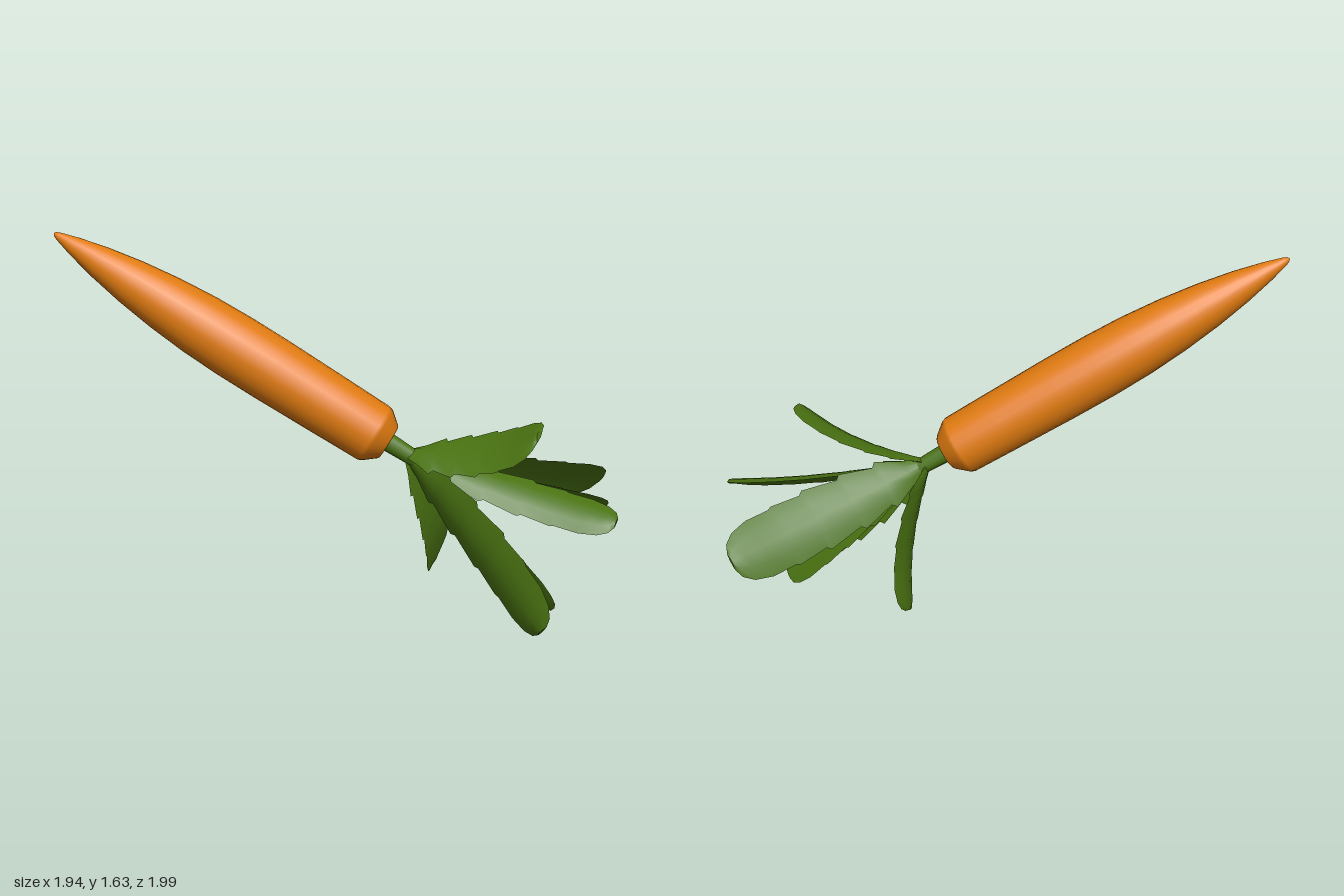
import * as THREE from 'three';
import { toCreasedNormals } from 'three/addons/utils/BufferGeometryUtils.js';

const V = (x, y, z) => new THREE.Vector3(x, y, z);
const UP = V(0, 1, 0);
const CROWN = V(0.018, 0.735, 0.102);          // flat end of the root
const TIP = V(-0.968, 1.63, -0.99);            // pointed end of the root
const AXIS = CROWN.clone().sub(TIP).normalize(); // runs from root towards leaves

// Half outline of a leaf blade: [position along, relative half width], with teeth
const OUTLINE = [
  [0, 0.15], [0.1, 0.42], [0.2, 0.78], [0.22, 0.64], [0.36, 0.93], [0.38, 0.8],
  [0.54, 1], [0.56, 0.89], [0.7, 0.98], [0.72, 0.92], [0.84, 0.93], [0.93, 0.78], [0.98, 0.54], [1, 0.25],
];

// Thin closed blade swept along a gentle curve, its flat side facing the axis
function leafGeometry(tip, halfWidth) {
  const base = CROWN.clone().addScaledVector(AXIS, 0.075);
  const bend = base.clone().lerp(tip, 0.46).addScaledVector(AXIS, 0.12);
  const curve = new THREE.QuadraticBezierCurve3(base, bend, tip);
  const across = AXIS.clone().cross(tip.clone().sub(base)).normalize();
  const columns = [-1, -0.5, 0, 0.5, 1];
  const ring = [...columns.map(u => [u, 1]), ...columns.slice(1, 4).reverse().map(u => [u, -1])];
  const n = ring.length, positions = [], index = [];
  for (const [s, w] of OUTLINE) {
    const centre = curve.getPoint(s);
    const normal = curve.getTangent(s).cross(across).normalize();
    for (const [u, side] of ring) {
      const lift = side * 0.01 * (1 - u * u) + 0.02 * w * (u * u - 0.4);
      const p = centre.clone().addScaledVector(across, u * w * halfWidth).addScaledVector(normal, lift);
      positions.push(p.x, p.y, p.z);
    }
  }
  for (let i = 0; i < OUTLINE.length - 1; i++) {
    for (let j = 0; j < n; j++) {
      const a = i * n + j, b = i * n + (j + 1) % n;
      index.push(a, a + n, b, b, a + n, b + n);
    }
  }
  // close both ends
  const last = (OUTLINE.length - 1) * n;
  for (let j = 1; j < n - 1; j++) {
    index.push(0, j, j + 1, last, last + j + 1, last + j);
  }
  const g = new THREE.BufferGeometry();
  g.setAttribute('position', new THREE.Float32BufferAttribute(positions, 3));
  g.setIndex(index);
  return toCreasedNormals(g, 0.7);
}

export function createModel() {
  const model = new THREE.Group();
  const orange = new THREE.MeshStandardMaterial({ color: 0xe07b10 });
  orange.name = 'carrot orange';
  const green = new THREE.MeshStandardMaterial({ color: 0x4a7312, side: THREE.DoubleSide });
  green.name = 'leaf green';

  const add = (name, geometry, material) => {
    const mesh = new THREE.Mesh(geometry, material);
    mesh.name = name;
    model.add(mesh);
    return mesh;
  };

  // Tapering root, turned around its long axis
  const profile = [
    [0, 0.012], [0.045, 0.01], [0.078, 0.012], [0.086, 0.018], [0.13, 0.072], [0.136, 0.09], [0.14, 0.3],
    [0.145, 0.6], [0.145, 0.8], [0.139, 0.98], [0.124, 1.16], [0.102, 1.33], [0.073, 1.49],
    [0.042, 1.62], [0.018, 1.7], [0.01, 1.718], [0, 1.725],
  ].map(([r, y]) => new THREE.Vector2(r, y));
  const root = add('root', new THREE.LatheGeometry(profile, 24), orange);
  root.position.copy(CROWN);
  root.quaternion.setFromUnitVectors(UP, AXIS.clone().negate());

  // Short stalk joining the root and the leaves
  const stalk = add('stalk', new THREE.CylinderGeometry(0.036, 0.042, 0.15, 12), green);
  stalk.position.copy(CROWN).addScaledVector(AXIS, 0.06);
  stalk.quaternion.setFromUnitVectors(UP, AXIS);

  // Four spreading outer leaves and three inner ones: tip and half width
  const leaves = [
    ['outerLeafTop', V(0.27, 0.87, 0.75), 0.155],
    ['outerLeafLeft', V(0.965, 0.47, 0.49), 0.145],
    ['outerLeafBack', V(0.345, 0.1, 0.04), 0.15],
    ['outerLeafBottom', V(0.19, 0.055, 0.875), 0.145],
    ['innerLeafFront', V(0.505, 0.495, 0.985), 0.105],
    ['innerLeafLeft', V(0.835, 0.41, 0.64), 0.105],
    ['innerLeafBottom', V(0.405, 0.05, 0.73), 0.115],
  ];
  for (const [name, tip, halfWidth] of leaves) add(name, leafGeometry(tip, halfWidth), green);

  return model;
}
